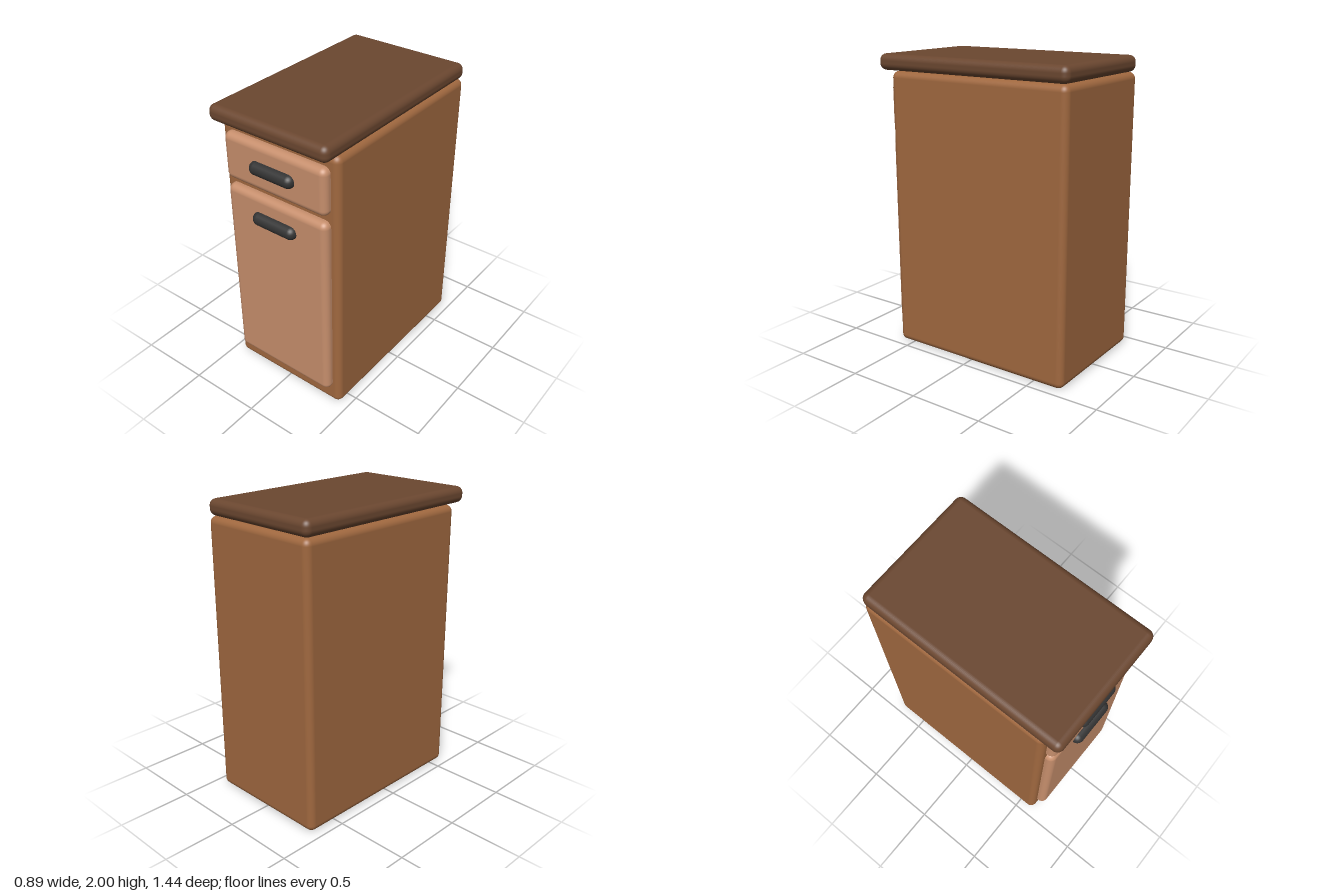
import * as THREE from 'three';
import { RoundedBoxGeometry } from 'three/addons/geometries/RoundedBoxGeometry.js';

const material = (color) => new THREE.MeshStandardMaterial({ color });

export function createModel() {
  const group = new THREE.Group();
  const bodyWood = material(0xa0683f);
  const panelWood = material(0xc68e6c);
  const topWood = material(0x6b4730);
  const handleBlack = material(0x333333);

  const add = (name, geometry, mat, x, y, z) => {
    const mesh = new THREE.Mesh(geometry, mat);
    mesh.name = name;
    mesh.position.set(x, y, z);
    group.add(mesh);
    return mesh;
  };

  // Rounded block given by half width and its y and z ranges
  const block = (name, mat, halfWidth, [y0, y1], [z0, z1], radius) =>
    add(name, new RoundedBoxGeometry(halfWidth * 2, y1 - y0, z1 - z0, 5, radius),
      mat, 0, (y0 + y1) / 2, (z0 + z1) / 2);

  // Cabinet carcass and overhanging worktop
  block('cabinetBody', bodyWood, 0.443, [0, 1.893], [-0.72, 0.611], 0.044);
  block('worktop', topWood, 0.443, [1.893, 2], [-0.72, 0.72], 0.044);

  // Front panels, partly sunk into the carcass
  block('drawerFront', panelWood, 0.388, [1.503, 1.82], [0.555, 0.666], 0.044);
  block('doorFront', panelWood, 0.388, [0.127, 1.46], [0.555, 0.666], 0.044);

  // Pill-shaped handles, half sunk into the panels
  for (const [name, y] of [['drawerHandle', 1.663], ['doorHandle', 1.305]]) {
    const handle = add(name, new THREE.CapsuleGeometry(0.0445, 0.245, 10, 24), handleBlack, 0, y, 0.666);
    handle.rotation.z = Math.PI / 2;
  }

  return group;
}
